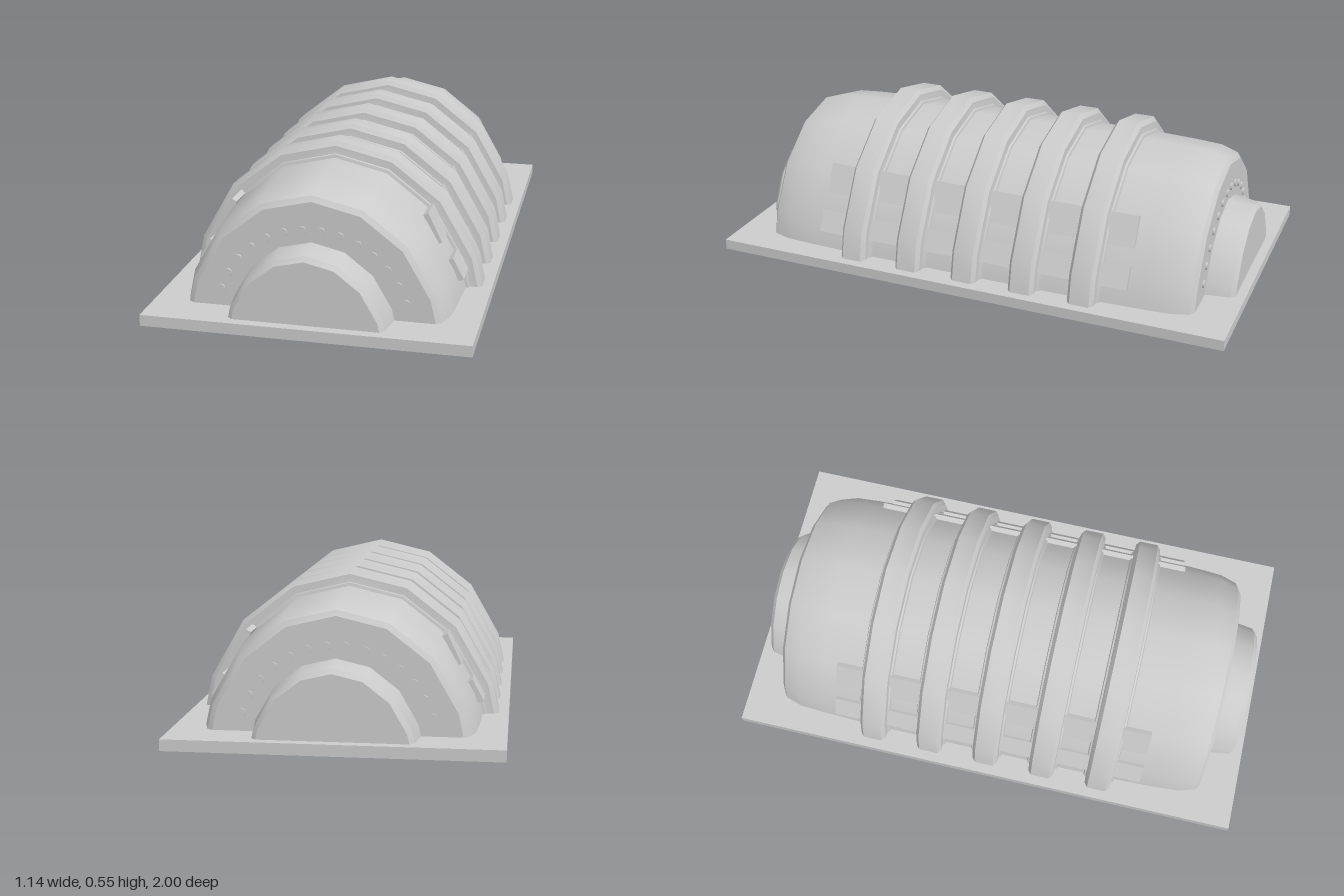
import * as THREE from 'three';
import { toCreasedNormals } from 'three/addons/utils/BufferGeometryUtils.js';

// Faceted arch outline, right foot to left foot
const half = [[0.535, 0.035], [0.51, 0.15], [0.39, 0.36], [0.21, 0.5]];
const arch = [...half, [0, 0.55], ...half.map(([x, y]) => [-x, y]).reverse()];

// Lofts the arch through [z, scale] sections, closing both ends
function loftArch(sections) {
  const n = arch.length, pos = [], idx = [];
  for (const [z, s] of sections) for (const [x, y] of arch) pos.push(x * s, y * s, z);
  const last = (sections.length - 1) * n;
  for (let j = 0; j < sections.length - 1; j++) {
    for (let i = 0; i < n - 1; i++) {
      const a = j * n + i, d = a + n;
      idx.push(a, a + 1, d + 1, a, d + 1, d);
    }
  }
  for (let i = 1; i < n - 1; i++) {
    idx.push(last, last + i, last + i + 1);
    idx.push(0, i + 1, i);
  }
  const g = new THREE.BufferGeometry();
  g.setAttribute('position', new THREE.Float32BufferAttribute(pos, 3));
  g.setIndex(idx);
  return toCreasedNormals(g, 0.55);
}

// Mirrors half of a section list from +z to -z
const mirrored = (list) => [...list.map(([z, s]) => [-z, s]), ...list.slice().reverse()];

export function createModel() {
  const model = new THREE.Group();
  const mat = new THREE.MeshStandardMaterial({ color: 0xcccccc });
  const add = (name, geometry, parent = model) => {
    const m = new THREE.Mesh(geometry, mat);
    m.name = name;
    parent.add(m);
    return m;
  };
  const group = (name) => {
    const g = new THREE.Group();
    g.name = name;
    model.add(g);
    return g;
  };

  // Ground slab
  add('basePlate', new THREE.BoxGeometry(1.14, 0.04, 2)).position.y = 0.02;

  // Vaulted hull with rounded ends
  add('hull', loftArch(mirrored([
    [0.858, 0.8], [0.845, 0.835], [0.78, 0.873], [0.68, 0.885], [0.5, 0.897], [0.2, 0.9],
  ])));

  // Stepped arch ribs, each with a low collar
  const ribs = group('ribs');
  const ribGeometry = loftArch(mirrored([
    [0.062, 0.9], [0.059, 0.917], [0.052, 0.92], [0.05, 0.97], [0.037, 1],
  ]));
  for (let i = -2; i <= 2; i++) add('rib', ribGeometry, ribs).position.z = i * 0.23;

  // End vestibules and rivet arcs
  const vestibule = loftArch(mirrored([[0.965, 0.485], [0.95, 0.515], [0.84, 0.545]]));
  add('endVestibules', vestibule);
  const rivets = group('rivets');
  const rivetGeometry = new THREE.CylinderGeometry(0.015, 0.015, 0.02, 8).rotateX(Math.PI / 2);
  for (const side of [1, -1]) {
    for (let i = 0; i < 14; i++) {
      const a = THREE.MathUtils.degToRad(18 + (i * 144) / 13);
      add('rivet', rivetGeometry, rivets)
        .position.set(0.34 * Math.cos(a), 0.34 * Math.sin(a), side * 0.855);
    }
  }

  // Two rows of thin side panels lying on the hull facets
  const panels = group('sidePanels');
  const rows = [[0.352, 0.345, 0.402, 0.24], [0.441, 0.185, 0.481, 0.11]];
  for (const side of [1, -1]) {
    for (const [x0, y0, x1, y1] of rows) {
      const length = Math.hypot(x1 - x0, y1 - y0);
      const p = add('sidePanel', new THREE.BoxGeometry(0.02, length, 1.24), panels);
      p.position.set(side * ((x0 + x1) / 2 - 0.006), (y0 + y1) / 2 - 0.004, 0);
      p.rotation.z = side * Math.atan2(x1 - x0, y0 - y1);
    }
  }
  return model;
}
